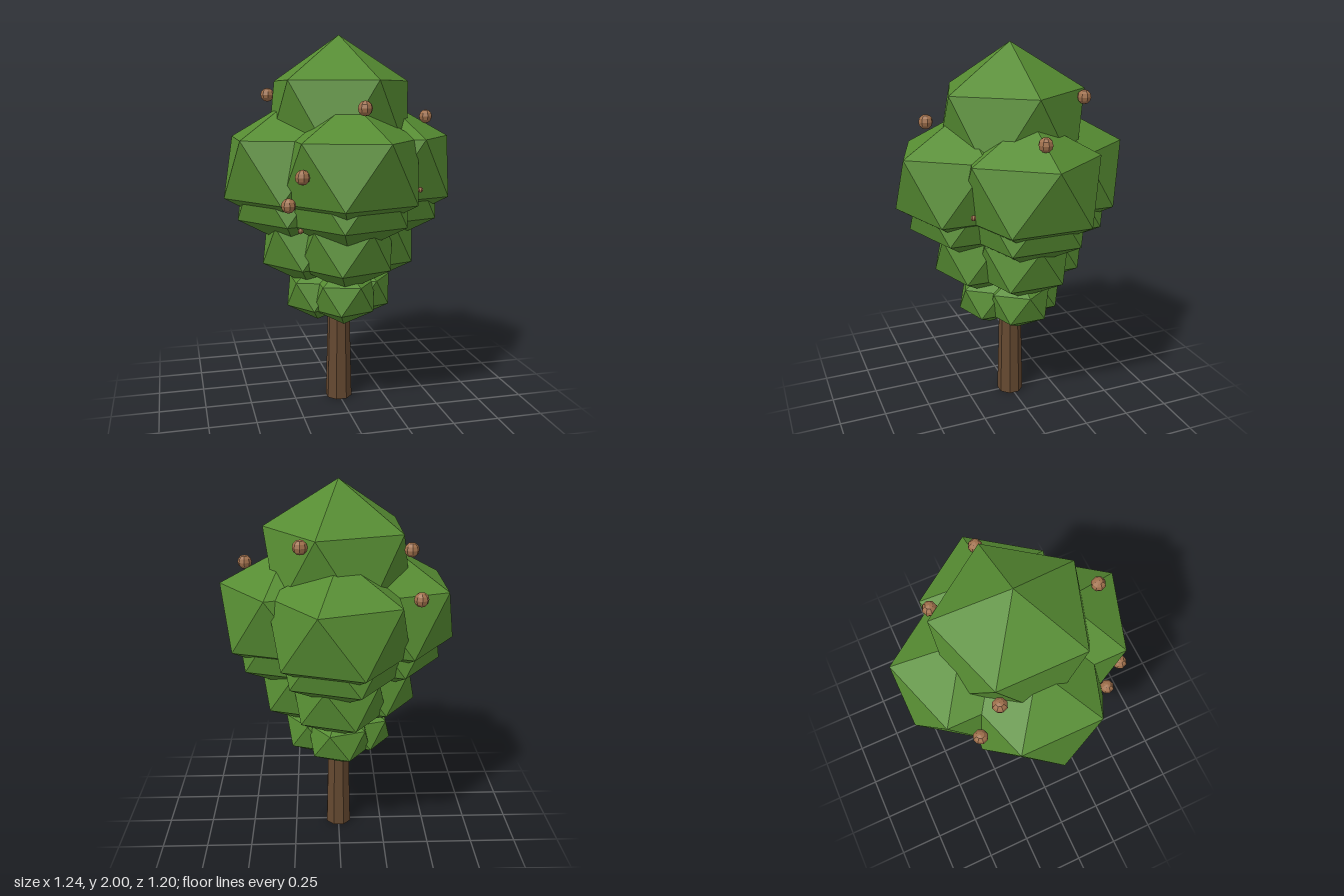
import * as THREE from 'three';
import { ConvexGeometry } from 'three/addons/geometries/ConvexGeometry.js';

// Twelve-point ball standing on one corner: two poles and two staggered rings of five
function cornerBall(radius, halfHeight) {
  const points = [new THREE.Vector3(0, halfHeight, 0), new THREE.Vector3(0, -halfHeight, 0)];
  for (let i = 0; i < 5; i++) {
    const a = (i * 2 * Math.PI) / 5;
    const x = 0.8944 * radius * Math.cos(a);
    const z = 0.8944 * radius * Math.sin(a);
    points.push(new THREE.Vector3(x, 0.4472 * halfHeight, z));
    points.push(new THREE.Vector3(-x, -0.4472 * halfHeight, z));
  }
  return new ConvexGeometry(points);
}

export function createModel() {
  const leaf = new THREE.MeshStandardMaterial({ color: 0x568c32, flatShading: true });
  leaf.name = 'leaf green';
  const bark = new THREE.MeshStandardMaterial({ color: 0x644830, flatShading: true });
  bark.name = 'bark brown';
  const nut = new THREE.MeshStandardMaterial({ color: 0xa0704c, flatShading: true });
  nut.name = 'fruit brown';

  const tree = new THREE.Group();
  tree.name = 'tree';
  const add = (parent, name, geometry, material, x, y, z) => {
    const mesh = new THREE.Mesh(geometry, material);
    mesh.name = name;
    mesh.position.set(x, y, z);
    parent.add(mesh);
    return mesh;
  };

  // Tapered eight-sided trunk
  const trunk = add(tree, 'trunk', new THREE.CylinderGeometry(0.05, 0.074, 1, 8), bark, 0, 0.5, 0);
  trunk.rotation.y = Math.PI / 8;

  // Four tiers of four leaf clumps, widening upward
  const tiers = [
    { y: 0.625, radius: 0.19, offset: 0.12 },
    { y: 0.904, radius: 0.28, offset: 0.17 },
    { y: 1.174, radius: 0.35, offset: 0.237 },
    { y: 1.312, radius: 0.402, offset: 0.26 },
  ];
  tiers.forEach(({ y, radius, offset }, i) => {
    const tier = new THREE.Group();
    tier.name = `foliageTier${i + 1}`;
    const clump = cornerBall(radius, radius * 0.87);
    for (const [dx, dz] of [[1, 0], [-1, 0], [0, 1], [0, -1]]) {
      add(tier, 'leafClump', clump, leaf, dx * offset, y, dz * offset);
    }
    tree.add(tier);
  });

  // Crown
  add(tree, 'crown', cornerBall(0.431, 0.427), leaf, 0, 1.573, 0);

  // Round fruits scattered on the foliage: x, y, z, radius
  const fruits = [
    [-0.35, 1.69, -0.225, 0.037],
    [0.02, 1.63, 0.457, 0.037],
    [0.485, 1.575, 0.017, 0.037],
    [-0.285, 1.31, 0.46, 0.037],
    [-0.34, 1.165, 0.38, 0.037],
    [0.19, 1.73, -0.33, 0.037],
    [-0.39, 1.475, -0.345, 0.037],
    [0.35, 1.215, 0.33, 0.014],
    [-0.28, 1.035, 0.37, 0.014],
  ];
  for (const [x, y, z, r] of fruits) {
    add(tree, 'fruit', new THREE.SphereGeometry(r, 8, 6), nut, x, y, z);
  }

  return tree;
}
